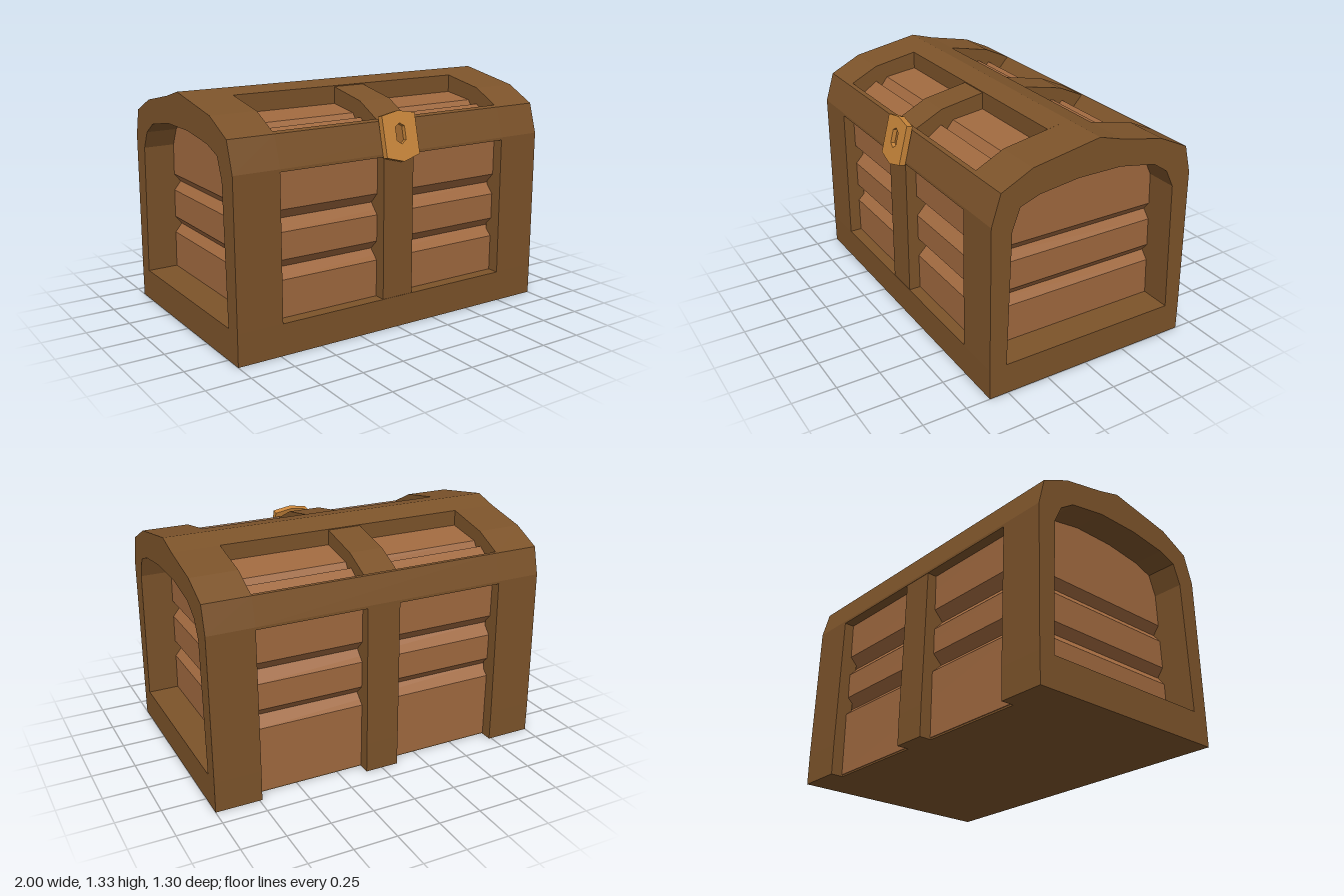
import * as THREE from 'three';

const mat = (color) => new THREE.MeshStandardMaterial({ color, flatShading: true });
const toPoints = (list) => list.map(([a, b]) => new THREE.Vector2(a, b));

// Outline of the chest seen from its end, as [z, y]
const OUTER = [
  [0.61, 0], [0.61, 0.18], [0.603, 1.0], [0.55, 1.17], [0.37, 1.26], [-0.02, 1.33],
  [-0.16, 1.29], [-0.42, 1.235], [-0.59, 1.155], [-0.63, 1.0], [-0.645, 0.18], [-0.645, 0],
];

// Arched opening in each end frame
const OPENING = [
  [0.51, 0.18], [0.485, 0.95], [0.44, 1.07], [0.33, 1.11], [0.1, 1.14],
  [-0.16, 1.14], [-0.38, 1.1], [-0.47, 1.04], [-0.52, 0.94], [-0.55, 0.18],
];

// Plank body with V grooves on the front, lid and back
const BODY = [
  [0.54, 0.01], [0.54, 0.39], [0.485, 0.445], [0.54, 0.5], [0.54, 0.65], [0.485, 0.71],
  [0.54, 0.77], [0.54, 0.99], [0.47, 1.1], [0.375, 1.165], [0.34, 1.13], [0.3, 1.18],
  [0.11, 1.205], [-0.16, 1.2], [-0.37, 1.165], [-0.4, 1.12], [-0.435, 1.15], [-0.52, 1.09],
  [-0.57, 0.99], [-0.57, 0.77], [-0.515, 0.71], [-0.57, 0.65], [-0.57, 0.5],
  [-0.515, 0.445], [-0.575, 0.39], [-0.575, 0.01],
];

// Bevelled planks that fill the end openings
const END_PLANKS = [
  [[0.57, 0.12], [0.57, 0.445], [-0.605, 0.445], [-0.605, 0.12]],
  [[0.57, 0.445], [0.57, 0.71], [-0.6, 0.71], [-0.6, 0.445]],
  [[0.57, 0.71], [0.56, 0.99], [0.5, 1.13], [0.3, 1.2], [-0.02, 1.22],
    [-0.4, 1.18], [-0.53, 1.11], [-0.59, 0.95], [-0.6, 0.71]],
];

// Lid rails along the front, ridge and back
const RAILS = {
  frontLidRail: [[0.604, 0.985], [0.603, 1.0], [0.55, 1.17], [0.53, 1.18], [0.46, 1.08], [0.46, 0.985]],
  ridgeBeam: [[0.11, 1.307], [-0.02, 1.33], [-0.16, 1.29], [-0.16, 1.15], [0.11, 1.15]],
  backLidRail: [[-0.5, 0.985], [-0.5, 1.07], [-0.58, 1.16], [-0.59, 1.155], [-0.63, 1.0], [-0.63, 0.985]],
  frontBottomRail: [[0.61, 0], [0.61, 0.18], [0.45, 0.18], [0.45, 0]],
  floor: [[0.5, 0], [0.5, 0.04], [-0.57, 0.04], [-0.57, 0]],
};

// Extrude a [z, y] outline along x, from x0 to x1
function extrudeAlongX(outline, x0, x1, { hole, bevel } = {}) {
  const shape = new THREE.Shape(toPoints(outline));
  if (hole) shape.holes.push(new THREE.Path(toPoints(hole)));
  const thickness = bevel ? 0.04 : 0;
  const geometry = new THREE.ExtrudeGeometry(shape, {
    depth: x1 - x0 - 2 * thickness,
    bevelEnabled: !!bevel,
    bevelThickness: thickness,
    bevelSize: bevel || 0,
    bevelOffset: -(bevel || 0),
    bevelSegments: 1,
  });
  geometry.rotateY(-Math.PI / 2);
  geometry.translate(x1 - thickness, 0, 0);
  return geometry;
}

export function createModel() {
  const chest = new THREE.Group();
  chest.name = 'treasureChest';
  const plank = mat(0xa0693f);
  const frame = mat(0x7c532a);
  const brass = mat(0xc8853a);

  const add = (name, geometry, material, parent = chest) => {
    const mesh = new THREE.Mesh(geometry, material);
    mesh.name = name;
    parent.add(mesh);
    return mesh;
  };

  add('plankBody', extrudeAlongX(BODY, -0.77, 0.77), plank);

  // End frames and the planks recessed in them
  for (const [side, s] of [['left', 1], ['right', -1]]) {
    const span = (a, b) => (s > 0 ? [a, b] : [-b, -a]);
    add(`${side}EndFrame`, extrudeAlongX(OUTER, ...span(0.735, 1), { hole: OPENING }), frame);
    END_PLANKS.forEach((outline, i) => {
      add(`${side}EndPlank${i + 1}`, extrudeAlongX(outline, ...span(0.736, 0.82), { bevel: 0.05 }), plank);
    });
  }

  for (const [name, outline] of Object.entries(RAILS)) {
    add(name, extrudeAlongX(outline, -0.737, 0.737), frame);
  }

  // Centre strap, a touch lower than the rails it crosses
  const strap = OUTER.map(([z, y]) => [z * 0.996, y * 0.996]);
  add('centreStrap', extrudeAlongX(strap, -0.098, 0.098), frame);

  // Tilted lock plate with a keyhole
  const lock = new THREE.Group();
  lock.name = 'lock';
  const plate = new THREE.Shape(toPoints([
    [-0.108, -0.11], [0, -0.14], [0.108, -0.11], [0.108, 0.115], [0, 0.135], [-0.108, 0.115],
  ]));
  plate.holes.push(new THREE.Path(toPoints([
    [-0.03, -0.025], [0, -0.045], [0.03, -0.025], [0.03, 0.05], [0, 0.068], [-0.03, 0.05],
  ])));
  add('lockPlate', new THREE.ExtrudeGeometry(plate, { depth: 0.036, bevelEnabled: false }), brass, lock);
  add('keyholeBack', new THREE.BoxGeometry(0.09, 0.14, 0.01), mat(0x9a642c), lock).position.set(0, 0.01, 0.006);
  lock.position.set(0, 1.085, 0.582);
  lock.rotation.x = -0.25;
  chest.add(lock);

  return chest;
}
